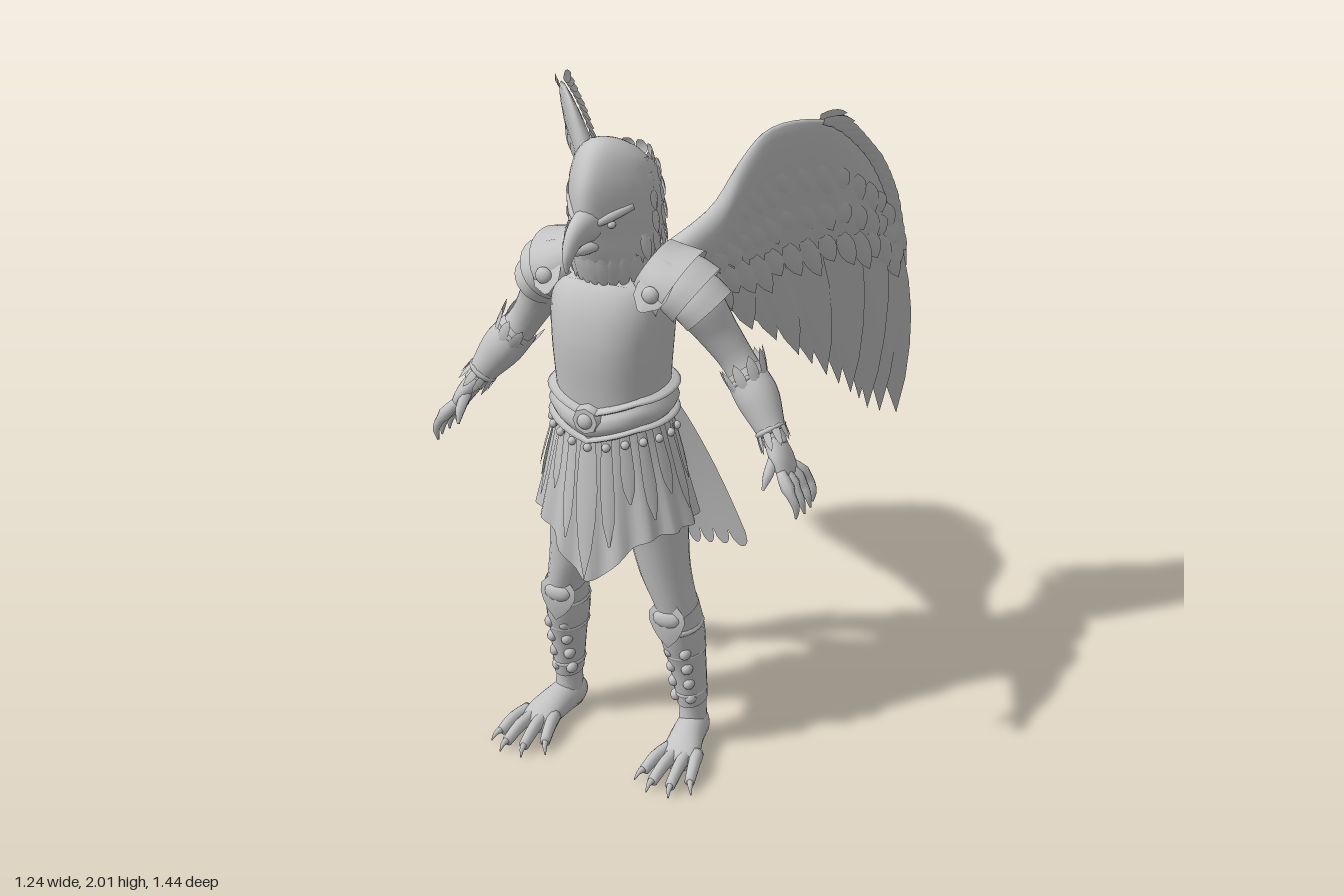
import * as THREE from 'three';
import { mergeGeometries, mergeVertices } from 'three/addons/utils/BufferGeometryUtils.js';

const V = (x, y, z) => new THREE.Vector3(x, y, z);
const X = V(1, 0, 0), Z = V(0, 0, 1);
const { lerp, smoothstep } = THREE.MathUtils;
const stone = new THREE.MeshStandardMaterial({ color: 0xc4c4c4, side: THREE.DoubleSide });
stone.name = 'stoneGrey';

// One named mesh from one or more geometries
function add(group, name, geo) {
  const list = [geo].flat();
  list.forEach(g => g.deleteAttribute('uv'));
  const m = new THREE.Mesh(mergeGeometries(list), stone);
  m.name = name;
  group.add(m);
}

// Smooth surface from a rule f(u, v) with u and v in 0..1
function surf(nu, nv, f) {
  const pos = [], idx = [];
  for (let j = 0; j <= nv; j++) for (let i = 0; i <= nu; i++) pos.push(...f(i / nu, j / nv).toArray());
  for (let j = 0; j < nv; j++) for (let i = 0; i < nu; i++) {
    const a = j * (nu + 1) + i, b = a + nu + 1;
    idx.push(a, a + 1, b, a + 1, b + 1, b);
  }
  let g = new THREE.BufferGeometry();
  g.setAttribute('position', new THREE.Float32BufferAttribute(pos, 3));
  g.setIndex(idx);
  g = mergeVertices(g, 1e-5);
  g.computeVertexNormals();
  return g;
}

// Loft of rounded sections [x, y, z, radius along ref, radius across]; pow < 1 squares the section
function loft(pts, ref = X, { seg = 20, rows = 24, pow = 1, cap = true, shape = null } = {}) {
  const path = new THREE.CatmullRomCurve3(pts.map(p => V(p[0], p[1], p[2])));
  const rad = new THREE.CatmullRomCurve3(pts.map(p => V(p[3], p[4], 0)));
  const n = cap ? rows + 2 : rows;
  return surf(seg, n, (a, b) => {
    const j = Math.round(b * n), t = cap ? Math.min(1, Math.max(0, (j - 1) / rows)) : b;
    const c = path.getPoint(t), r = rad.getPoint(t), d = path.getTangent(t);
    const u = ref.clone().addScaledVector(d, -ref.dot(d)).normalize(), w = d.clone().cross(u);
    const th = a === 1 ? 0 : a * Math.PI * 2, k = cap && (j === 0 || j === n) ? 0 : 1;
    const sp = q => Math.sign(q) * Math.abs(q) ** pow;
    const p = c.addScaledVector(u, k * r.x * sp(Math.cos(th))).addScaledVector(w, k * r.y * sp(Math.sin(th)));
    return shape ? shape(p) : p;
  });
}

// Ridged blade: feather, strap or claw plate, facing n
const FEATHER = [0.5, 0.85, 1, 0.9, 0.6, 0], STRAP = [0.7, 0.8, 0.9, 1, 0.85, 0.15];
function leaf(b, t, w, n, prof = FEATHER, ridge = 0.15) {
  const side = t.clone().sub(b).cross(n).normalize();
  return surf(2, 5, (u, v) => b.clone().lerp(t, v)
    .addScaledVector(side, (u - 0.5) * w * prof[Math.round(v * 5)])
    .addScaledVector(n, u === 0.5 ? w * ridge * prof[Math.round(v * 5)] : 0));
}
function ball(x, y, z, rx, ry, rz) {
  const g = new THREE.SphereGeometry(1, 14, 10);
  return g.scale(rx, ry, rz).translate(x, y, z);
}
const curve2 = a => new THREE.CatmullRomCurve3(a.map(p => V(0, p[1], p[0])));

function buildWing(g) {
  const n = V(0.775, -0.25, 0.58);
  // Side profile (z, y) laid on the slanted, slightly curled wing plane
  const W = (p, off = 0) => {
    const x = -0.245 - 0.748 * p.z + 0.32 * p.y - 0.12 * p.z * p.z;
    return V(x - 0.06 * smoothstep(x, 0.42, 0.62), p.y, p.z).addScaledVector(n, off);
  };
  const lead = curve2([[.26, 1.6], [.15, 1.73], [.115, 1.88], [.07, 1.965], [-.07, 1.965], [-.25, 1.84], [-.385, 1.68], [-.505, 1.46]]);
  const mid = curve2([[.26, 1.47], [.16, 1.46], [.07, 1.45], [-.03, 1.46], [-.14, 1.48], [-.27, 1.49], [-.4, 1.47], [-.51, 1.4]]);
  const trail = curve2([[.2, 1.42], [.06, 1.37], [-.08, 1.28], [-.2, 1.2], [-.32, 1.1], [-.43, 1.0], [-.54, .93], [-.64, .98]]);
  // Thick feathered arm
  add(g, 'wingArm', surf(24, 30, (a, t) => {
    const th = a === 1 ? 0 : a * Math.PI * 2;
    const p = lead.getPoint(t).lerp(mid.getPoint(t), (1 - Math.cos(th)) / 2);
    return W(p, Math.sin(th) * lerp(0.048, 0.012, t));
  }));
  add(g, 'wingSheet', surf(8, 24, (u, t) => W(mid.getPoint(t).lerp(trail.getPoint(t), u * 0.95))));
  // Long flight feathers
  const tips = curve2([[.16, 1.4], [.04, 1.32], [-.1, 1.24], [-.25, 1.12], [-.35, 1.03], [-.45, .94], [-.53, .87], [-.6, .8], [-.72, .75]]);
  const flight = [];
  for (let i = 0; i <= 13; i++) {
    const t = i / 13, b = mid.getPoint(0.1 + 0.9 * t).lerp(lead.getPoint(0.1 + 0.9 * t), 0.2);
    flight.push(leaf(W(b, i % 2 * 0.006), W(tips.getPoint(t), i % 2 * 0.006), lerp(0.09, 0.12, t), n, FEATHER, 0.06));
  }
  for (const [z, y] of [[-.64, 1.0], [-.585, 1.22]])
    flight.push(leaf(W(V(0, 1.52, -.47)), W(V(0, y, z)), 0.09, n, FEATHER, 0.06));
  add(g, 'flightFeathers', flight);
  // Covert rows on both faces
  const cov = [];
  for (const s of [1, -1]) for (let r = 0; r < 3; r++) for (let i = 0; i < 15; i++) {
    const t = 0.1 + 0.88 * (i + r % 2 * 0.5) / 15, k = 0.3 + r * 0.26;
    const b = lead.getPoint(t).lerp(mid.getPoint(t), k);
    const len = (0.11 + 0.025 * (i % 3)) * (r === 2 ? 1.1 : 0.8);
    const tip = b.clone().add(V(0, -0.85 * len, -0.55 * len));
    const h = lerp(0.048, 0.012, t);
    cov.push(leaf(W(b, s * h * 0.85), W(tip, s * (h * 0.5 + 0.012)), 0.06, n.clone().multiplyScalar(s)));
  }
  add(g, 'covertFeathers', cov);
  // Ragged outer edge
  const edge = [];
  for (let i = 0; i < 14; i++) {
    const t = 0.57 + 0.43 * i / 14, d = lead.getTangent(t), b = lead.getPoint(t);
    const tip = b.clone().addScaledVector(d, 0.11).add(V(0, d.z * -0.015, d.y * 0.015));
    for (const o of [0.012, -0.012]) edge.push(leaf(W(b, o), W(tip, o * 2), 0.04, n));
  }
  add(g, 'edgeFeathers', edge);
}

function buildArm(g) {
  add(g, 'upperArm', loft([[.15, 1.58, .39, .07, .08], [.23, 1.53, .38, .075, .08], [.3, 1.42, .345, .06, .06], [.36, 1.33, .33, .05, .052], [.42, 1.25, .345, .052, .056], [.49, 1.15, .38, .034, .036], [.51, 1.12, .39, .03, .034]], Z));
  // Layered shoulder plates, widest next to the chest
  const plates = [[.11, 1.62, .2, 1.57, .11, .14], [.17, 1.595, .245, 1.54, .105, .12], [.215, 1.56, .28, 1.495, .09, .1]];
  add(g, 'shoulderPlates', plates.map(([x, y, x2, y2, r, r2], i) =>
    loft([[x, y, .395 - i * .01, r, r * 0.75], [(x + x2) / 2, (y + y2) / 2, .393 - i * .01, (r + r2) / 2 + .008, r * 0.85], [x2, y2, .39 - i * .01, r2, r2 * 0.8]], Z, { cap: false, rows: 6, seg: 24 })));
  add(g, 'shoulderStrap', leaf(V(.2, 1.66, .46), V(.15, 1.54, .56), .1, V(.2, .5, .84), STRAP, .08));
  add(g, 'shoulderStud', ball(.172, 1.585, .535, .026, .026, .018));
  add(g, 'bracer', loft([[.37, 1.31, .332, .056, .06], [.42, 1.25, .345, .064, .066], [.48, 1.165, .375, .044, .046]], Z, { cap: false, rows: 8 }));
  add(g, 'bracerBands', [[.385, 1.295, .335, .064], [.478, 1.168, .374, .05]].map(([x, y, z, r]) =>
    loft([[x, y, z, r - .01, r - .01], [x + .005, y - .007, z + .002, r, r], [x + .012, y - .016, z + .004, r - .01, r - .01]], Z, { rows: 6 })));
  const cuff = [];
  for (let i = 0; i < 9; i++) {
    const a = i / 9 * Math.PI * 2, o = V(.8 * Math.cos(a), .6 * Math.cos(a), Math.sin(a));
    cuff.push(leaf(V(.4, 1.275, .34).addScaledVector(o, .058), V(.36, 1.345, .325).addScaledVector(o, .075), .035, o));
    cuff.push(leaf(V(.47, 1.18, .37).addScaledVector(o, .042), V(.51, 1.12, .395).addScaledVector(o, .05), .025, o));
  }
  add(g, 'armFeathers', cuff);
  // Hand with clawed fingers
  add(g, 'palm', loft([[.495, 1.14, .385, .034, .03], [.53, 1.09, .4, .052, .028], [.555, 1.045, .405, .05, .02]], Z, { rows: 8 }));
  const fingers = [.34, .38, .425, .465].map((z, i) => loft([[.545, 1.065, .37 + i * .024, .015, .015], [.585, 1.015, z, .015, .015], [.605, .975, z, .012, .012], [.618 - Math.abs(i - 1.5) * .01, .935, z - .005, .003, .003]], Z, { seg: 8, rows: 8 }));
  fingers.push(loft([[.515, 1.1, .42, .018, .018], [.515, 1.06, .465, .016, .016], [.51, 1.02, .49, .004, .004]], X, { seg: 8, rows: 6 }));
  add(g, 'fingers', fingers);
}

function buildLeg(g) {
  add(g, 'leg', loft([[.1, .98, .42, .1, .13], [.13, .8, .41, .09, .11], [.155, .65, .41, .075, .09], [.19, .52, .4, .058, .08], [.2, .4, .375, .06, .08], [.215, .25, .355, .045, .06], [.22, .14, .345, .04, .052], [.22, .04, .35, .045, .06]]));
  add(g, 'greave', loft([[.192, .52, .405, .064, .08], [.199, .42, .38, .065, .086], [.21, .3, .362, .054, .07], [.219, .16, .347, .045, .058]], X, { cap: false, rows: 16 }));
  add(g, 'greaveBands', [[.197, .45, .388, .07, .09], [.204, .35, .37, .063, .081], [.215, .2, .352, .051, .065]].map(([x, y, z, a, b]) =>
    loft([[x, y + .014, z, a - .01, b - .01], [x, y, z, a, b], [x, y - .014, z, a - .01, b - .01]], X, { rows: 6 })));
  add(g, 'kneePlate', [leaf(V(.185, .545, .465), V(.195, .4, .472), .12, Z, [.6, 1, 1, .8, .5, 0], .14), ball(.188, .5, .47, .045, .03, .02)]);
  add(g, 'shinStuds', [.37, .31, .25, .19].flatMap((y, i) => [-1, 1].map(s => ball(.21 + s * .025, y, .435 - i * .014, .018, .02, .022))));
  // Taloned foot
  add(g, 'foot', loft([[.215, .05, .285, .03, .035], [.22, .06, .33, .048, .055], [.232, .06, .41, .052, .052], [.25, .045, .5, .06, .036], [.255, .035, .54, .05, .025]], X, { rows: 16 }));
  const toes = [], claws = [];
  [[.175, .60], [.225, .645], [.285, .645], [.33, .60]].forEach(([x, z], i) => {
    const bx = .205 + i * .031;
    toes.push(loft([[bx, .05, .48, .022, .025], [lerp(bx, x, .6), .048, lerp(.48, z, .55), .019, .022], [x, .028, z, .016, .018]], X, { seg: 10, rows: 8 }));
    claws.push(loft([[x, .032, z - .008, .011, .014], [x + (x - .25) * .12, .028, z + .015, .008, .009], [x + (x - .25) * .25, .005, z + .03, .002, .002]], X, { seg: 8, rows: 5 }));
  });
  add(g, 'toes', toes);
  add(g, 'claws', claws);
}

function buildHead(g) {
  // Narrow the face towards the beak, but leave the throat full
  const wedge = p => { p.x *= 1 - 0.45 * smoothstep(p.z, 0.42, 0.63) * smoothstep(p.y, 1.64, 1.76); return p; };
  const rings = [[1.555, .385, .075, .085], [1.63, .395, .11, .14], [1.7, .41, .132, .165], [1.79, .428, .134, .18], [1.87, .432, .13, .176], [1.94, .42, .108, .142], [1.975, .405, .06, .09], [1.985, .4, .02, .03]];
  add(g, 'head', loft(rings.map(([y, z, a, b]) => [0, y, z, a, b]), X, { seg: 32, shape: wedge }));
  add(g, 'upperBeak', loft([[0, 1.785, .56, .048, .055], [0, 1.785, .615, .038, .048], [0, 1.77, .665, .026, .036], [0, 1.73, .7, .016, .022], [0, 1.685, .71, .004, .005]], X, { seg: 14 }));
  add(g, 'lowerBeak', loft([[0, 1.725, .53, .045, .025], [0, 1.725, .61, .03, .02], [0, 1.728, .67, .008, .008]], X, { seg: 12 }));
  add(g, 'brows', [-1, 1].map(s => loft([[s * .022, 1.79, .6, .008, .008], [s * .06, 1.81, .56, .014, .012], [s * .102, 1.83, .5, .01, .008]], V(0, 1, 0), { seg: 10, rows: 8 })));
  add(g, 'eyes', [-1, 1].map(s => ball(s * .062, 1.787, .555, .012, .011, .014)));
  // Overlapping rows of head and neck feathers; a = 0 faces forward
  const f = [];
  const rows = [[1.68, .41, .13, .165, .10], [1.74, .42, .133, .17, .08], [1.8, .428, .134, .18, .07], [1.86, .432, .131, .177, .06], [1.91, .426, .12, .16, .05], [1.95, .418, .1, .13, .045]];
  rows.forEach(([y, zc, rx, rz, len], r) => {
    const m = 24 - r * 2;
    for (let i = 0; i < m; i++) {
      const a = (i + r % 2 / 2) / m * Math.PI * 2, c = Math.cos(a), s = Math.sin(a);
      if (r > 0 && c > 0.35 - r * 0.06) continue;
      const pull = r === 0 ? 0.98 - 0.2 * Math.max(0, c) : 1.08;
      f.push(leaf(wedge(V(rx * s, y, zc + rz * c)), V(rx * s * pull, y - len, zc + rz * c * pull), .045, V(s, .2, c)));
    }
  });
  add(g, 'headFeathers', f);
  // Pointed beard of throat feathers in two tiers
  const beard = [];
  for (let r = 0; r < 2; r++) for (let i = -3; i <= 3; i++) {
    const k = Math.abs(i), y = 1.7 - r * .06, z = .565 - r * .025 - k * k * .007;
    beard.push(leaf(V(i * .03, y, z), V(i * .026, y - .1 + k * .014, z - .04), .05, Z));
  }
  add(g, 'beardFeathers', beard);
}

function buildBody(g) {
  add(g, 'torso', loft([[1.15, .43, .16, .155], [1.27, .432, .166, .165], [1.4, .432, .175, .176], [1.49, .425, .182, .168], [1.55, .4, .172, .135], [1.61, .385, .12, .1], [1.68, .39, .07, .08]].map(([y, z, a, b]) => [0, y, z, a, b]), X, { seg: 36, pow: 0.88 }));
  add(g, 'hips', loft([[0, .78, .41, .1, .1], [0, .9, .415, .18, .15], [0, 1.05, .425, .17, .15], [0, 1.18, .43, .16, .15]]));
  // Belt dips in front
  const dip = p => { p.y -= 0.04 * Math.max(0, 1 - Math.abs(p.x) / 0.14) * (p.z > 0.43 ? 1 : 0); return p; };
  add(g, 'belt', [[1.2, .045, .173, .17], [1.245, .012, .177, .174], [1.16, .012, .176, .173]].map(([y, h, a, b]) =>
    loft([[0, y - h, .43, a - .008, b - .008], [0, y - h * .6, .43, a, b], [0, y + h * .6, .43, a, b], [0, y + h, .43, a - .008, b - .008]], X, { seg: 40, rows: 8, pow: 0.92, shape: dip })));
  add(g, 'buckle', [new THREE.CylinderGeometry(.04, .048, .03, 8).rotateX(Math.PI / 2).translate(0, 1.19, .605), ball(0, 1.19, .62, .024, .024, .016)]);
  // Pleated skirt, longest at the front point
  const skirt = (th, v, off = 0) => {
    const c = Math.cos(th), yb = 0.82 - 0.155 * Math.max(0, c) ** 8;
    const q = off + Math.cos(th * 16) * 0.01 * v;
    return V(Math.sin(th) * (lerp(.165, .25, v) + q), lerp(1.16, yb, v), lerp(.43, .42, v) + c * (lerp(.155, .2, v) + q));
  };
  add(g, 'skirt', surf(96, 14, (u, v) => skirt(u === 1 ? 0 : u * Math.PI * 2, v)));
  const straps = [], studs = [];
  for (let i = -6; i <= 6; i++) {
    const a = i * 0.3, v = i === 0 ? .98 : i % 2 ? .82 : .62, n = V(Math.sin(a), .15, Math.cos(a));
    straps.push(leaf(skirt(a, 0, .01), skirt(a, v, .014), i === 0 ? .07 : .042, n, i === 0 ? FEATHER : STRAP, .12));
    const p = skirt(a, .12, .015);
    studs.push(ball(p.x, p.y, p.z, .013, .013, .013));
  }
  add(g, 'skirtStraps', straps);
  add(g, 'strapStuds', studs);
  // Scalloped tail fan
  add(g, 'tail', surf(90, 12, (u, v) => {
    const s = u * 2 - 1, lobe = Math.sqrt(Math.abs(Math.cos(s * Math.PI * 4.5))), k = v * (0.9 + 0.1 * lobe);
    const e = Math.sin(Math.abs(s) * Math.PI / 2) ** 1.3;
    return V(s * lerp(.1, .32, k ** 0.8), lerp(1.16, .48 + .13 * e, k), lerp(.265, -.04 + .17 * e, k) - .01 * Math.sin(k * Math.PI));
  }));
}

export function createModel() {
  const model = new THREE.Group();
  model.name = 'wingedWarrior';
  for (const [name, build] of Object.entries({ body: buildBody, head: buildHead })) {
    const g = new THREE.Group();
    g.name = name;
    build(g);
    model.add(g);
  }
  // Limbs and wings, mirrored
  for (const [name, build] of Object.entries({ Wing: buildWing, Arm: buildArm, Leg: buildLeg })) {
    const left = new THREE.Group();
    build(left);
    const right = left.clone();
    left.name = 'left' + name;
    right.name = 'right' + name;
    right.scale.x = -1;
    model.add(left, right);
  }
  return model;
}
